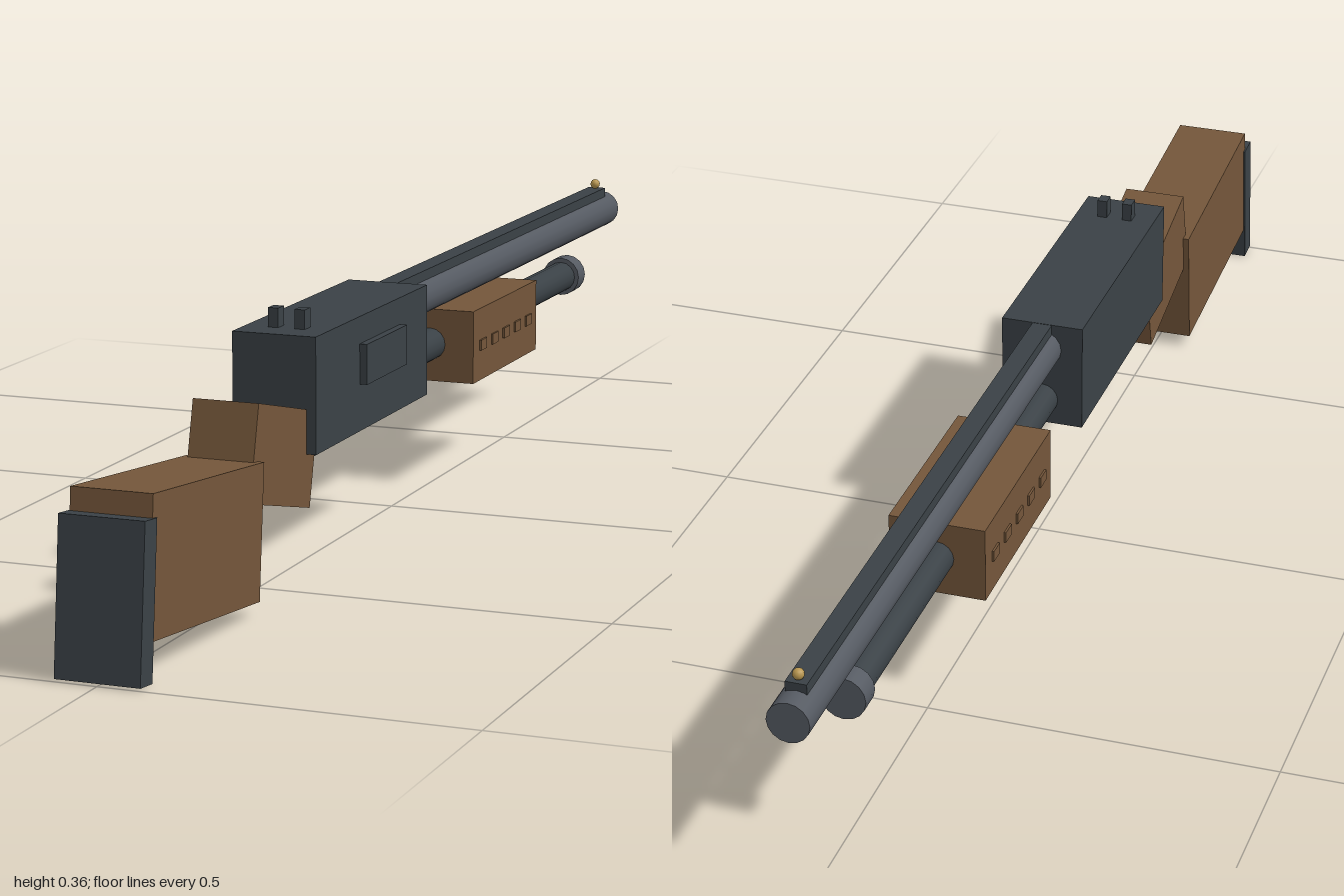
import * as THREE from 'three';

const material = (name, color) => {
  const m = new THREE.MeshStandardMaterial({ color });
  m.name = name;
  return m;
};

export function createModel() {
  const darkSteel = material('dark steel', 0x3a4146);
  const barrelSteel = material('barrel steel', 0x555a62);
  const wood = material('wood', 0x74563a);
  const brass = material('brass', 0xb8964f);

  const group = new THREE.Group();
  group.name = 'pumpShotgun';

  const add = (name, geometry, mat, x, y, z, tilt = 0) => {
    const mesh = new THREE.Mesh(geometry, mat);
    mesh.name = name;
    mesh.position.set(x, y, z);
    mesh.rotation.x = tilt;
    group.add(mesh);
    return mesh;
  };
  const box = (name, mat, size, pos, tilt) =>
    add(name, new THREE.BoxGeometry(...size), mat, ...pos, tilt);
  // Cylinder lying along z between two depths
  const rod = (name, mat, radius, y, z0, z1) =>
    add(name, new THREE.CylinderGeometry(radius, radius, Math.abs(z1 - z0), 16)
      .rotateX(Math.PI / 2), mat, 0, y, (z0 + z1) / 2);

  // Receiver with ejection port on its left side
  box('receiver', darkSteel, [0.122, 0.162, 0.425], [0, 0.258, 0.2275]);
  box('ejectionPort', darkSteel, [0.016, 0.057, 0.155], [0.064, 0.272, 0.2025]);

  // Trigger guard plate hanging under the receiver
  box('triggerGuard', darkSteel, [0.025, 0.012, 0.13], [0, 0.154, 0.31]);

  // Barrel, rib and front bead
  rod('barrel', barrelSteel, 0.029, 0.299, 0.015, -1);
  box('barrelRib', darkSteel, [0.029, 0.015, 0.985], [0, 0.331, -0.4775]);
  add('frontBead', new THREE.SphereGeometry(0.008, 12, 8), brass, 0, 0.346, -0.96);

  // Magazine tube and end cap
  rod('magazineTube', darkSteel, 0.024, 0.216, 0.015, -0.785);
  rod('magazineCap', barrelSteel, 0.031, 0.216, -0.78, -0.814);

  // Sliding fore-end with grip nubs on both sides
  box('foreEnd', wood, [0.138, 0.11, 0.29], [0, 0.214, -0.306]);
  for (const side of [-1, 1]) {
    for (let i = -2; i <= 2; i++) {
      box('gripNub', wood, [0.012, 0.016, 0.025], [side * 0.066, 0.213, -0.306 + i * 0.052]);
    }
    // Rear sight post
    box('rearSight', darkSteel, [0.015, 0.03, 0.02], [side * 0.0195, 0.351, 0.386]);
  }

  // Wrist, stock and butt pad
  box('gripWrist', wood, [0.094, 0.132, 0.21], [0, 0.19, 0.516], -0.245);
  box('stock', wood, [0.112, 0.185, 0.345], [0, 0.128, 0.787], -0.1);
  box('buttPad', darkSteel, [0.117, 0.206, 0.035], [0, 0.1055, 0.972], -0.1);

  return group;
}
